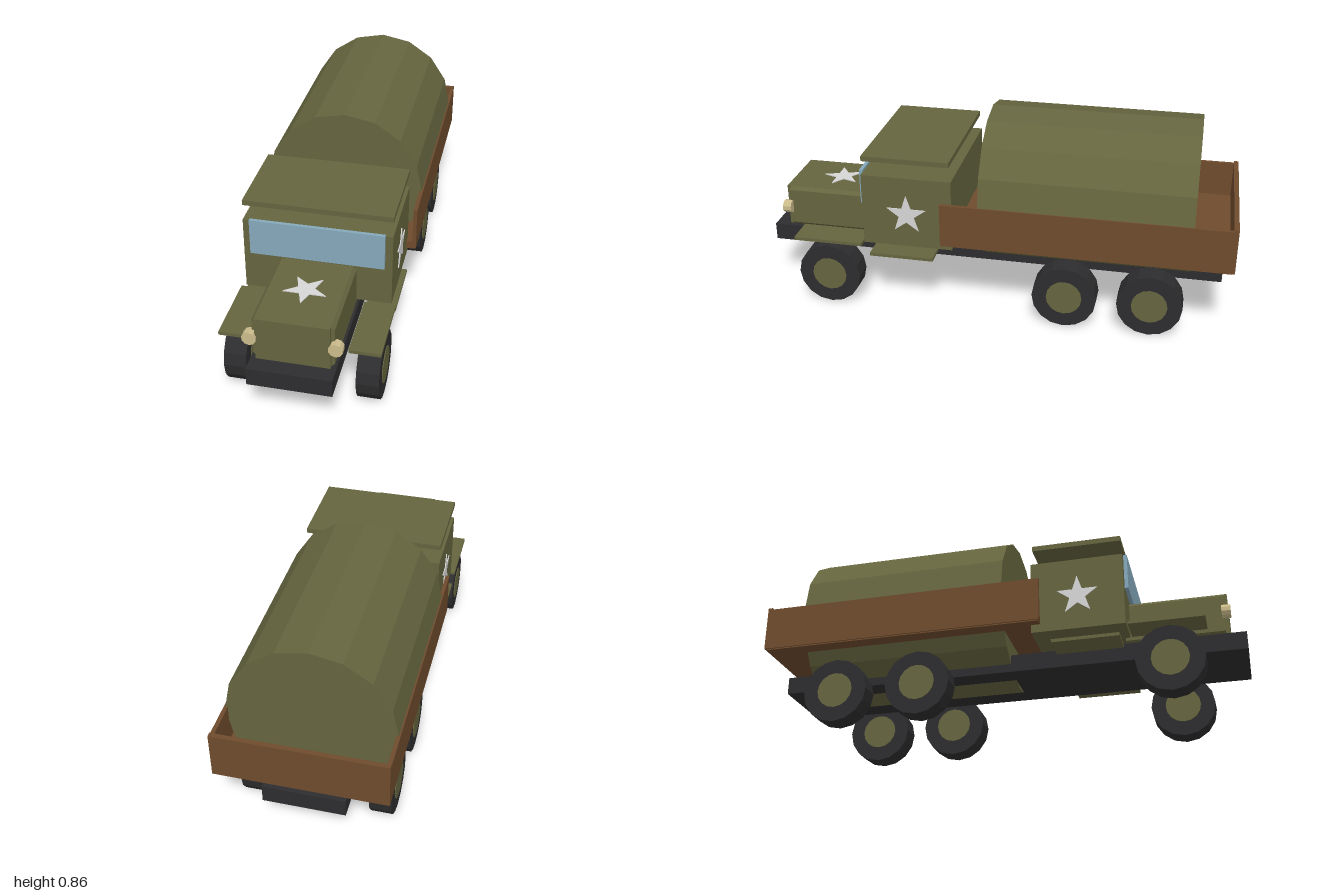
import * as THREE from 'three';

const mat = (name, color) => {
  const m = new THREE.MeshStandardMaterial({ color });
  m.name = name;
  return m;
};

export function createModel() {
  const olive = mat('olive paint', 0x65653f);
  const wood = mat('brown wood', 0x6e4b2d);
  const black = mat('black rubber and frame', 0x2d2d2f);
  const glass = mat('windscreen glass', 0x85a8bb);
  const lampTan = mat('lamp tan', 0xcbbb8b);
  const white = mat('star white', 0xd6d6d6);
  const truck = new THREE.Group();
  truck.name = 'truck';

  const add = (name, geometry, material, x = 0, y = 0, z = 0) => {
    const mesh = new THREE.Mesh(geometry, material);
    mesh.name = name;
    mesh.position.set(x, y, z);
    truck.add(mesh);
    return mesh;
  };
  // Box given by its limits on each axis
  const box = (name, material, x0, x1, y0, y1, z0, z1) =>
    add(name, new THREE.BoxGeometry(x1 - x0, y1 - y0, z1 - z0), material,
      (x0 + x1) / 2, (y0 + y1) / 2, (z0 + z1) / 2);
  // Box mirrored to both sides
  const pair = (name, material, x0, x1, ...rest) => {
    box(name + 'Left', material, x0, x1, ...rest);
    box(name + 'Right', material, -x1, -x0, ...rest);
  };
  // Faceted cylinder along the y axis
  const drum = (r, length, sides) => {
    const g = new THREE.CylinderGeometry(r, r, length, sides).toNonIndexed();
    g.computeVertexNormals();
    return g;
  };

  // Frame
  box('chassis', black, -0.163, 0.163, 0.203, 0.277, -0.96, 1);

  // Wheels with hubs showing on both faces
  for (const side of [1, -1]) {
    for (const z of [0.705, -0.32, -0.675]) {
      add('tyre', drum(0.136, 0.09, 16).rotateZ(Math.PI / 2), black, side * 0.261, 0.136, z);
      add('hub', drum(0.075, 0.096, 16).rotateZ(Math.PI / 2), olive, side * 0.261, 0.136, z);
    }
  }

  // Cab, raised roof and windscreen
  box('cab', olive, -0.297, 0.297, 0.305, 0.618, 0.157, 0.54);
  box('roof', olive, -0.297, 0.297, 0.681, 0.703, 0.165, 0.535);
  box('windscreen', glass, -0.268, 0.268, 0.475, 0.627, 0.54, 0.555);

  // Hood with chamfered long edges, and its front panel
  const hood = new THREE.Shape([
    [-0.142, 0.278], [0.142, 0.278], [0.156, 0.292], [0.156, 0.447],
    [0.142, 0.461], [-0.142, 0.461], [-0.156, 0.447], [-0.156, 0.292],
  ].map(([x, y]) => new THREE.Vector2(x, y)));
  add('hood', new THREE.ExtrudeGeometry(hood, { depth: 0.4, bevelEnabled: false }),
    olive, 0, 0, 0.52);
  box('grillePanel', olive, -0.142, 0.142, 0.278, 0.461, 0.92, 0.936);

  // Fenders, running boards and headlights
  pair('fender', olive, 0.19, 0.315, 0.291, 0.305, 0.55, 0.85);
  pair('runningBoard', olive, 0.19, 0.31, 0.248, 0.262, 0.24, 0.515);
  for (const side of [1, -1]) {
    add('headlight', drum(0.028, 0.036, 10).rotateX(Math.PI / 2), lampTan, side * 0.163, 0.373, 0.928);
  }

  // Open load bed
  box('bedFloor', wood, -0.333, 0.333, 0.34, 0.375, -0.99, 0.195);
  pair('sideBoard', wood, 0.322, 0.338, 0.345, 0.53, -0.985, 0.198);
  box('tailgate', wood, -0.338, 0.338, 0.345, 0.537, -1, -0.98);

  // Faceted round cover
  add('canvasCover', drum(0.333, 0.87, 16).rotateX(Math.PI / 2), olive, 0, 0.522, -0.395);

  // Painted stars as thin plates
  const star = new THREE.Shape();
  for (let i = 0; i < 10; i++) {
    const r = i % 2 ? 0.034 : 0.088;
    const a = Math.PI / 2 + (i * Math.PI) / 5;
    star[i ? 'lineTo' : 'moveTo'](r * Math.cos(a), r * Math.sin(a));
  }
  star.closePath();
  const plate = () => new THREE.ExtrudeGeometry(star, { depth: 0.004, bevelEnabled: false });
  add('doorStarLeft', plate().rotateY(Math.PI / 2), white, 0.297, 0.452, 0.35);
  add('doorStarRight', plate().rotateY(-Math.PI / 2), white, -0.297, 0.452, 0.35);
  add('hoodStar', plate().rotateX(-Math.PI / 2).rotateY(Math.PI), white, 0, 0.461, 0.725);

  return truck;
}
